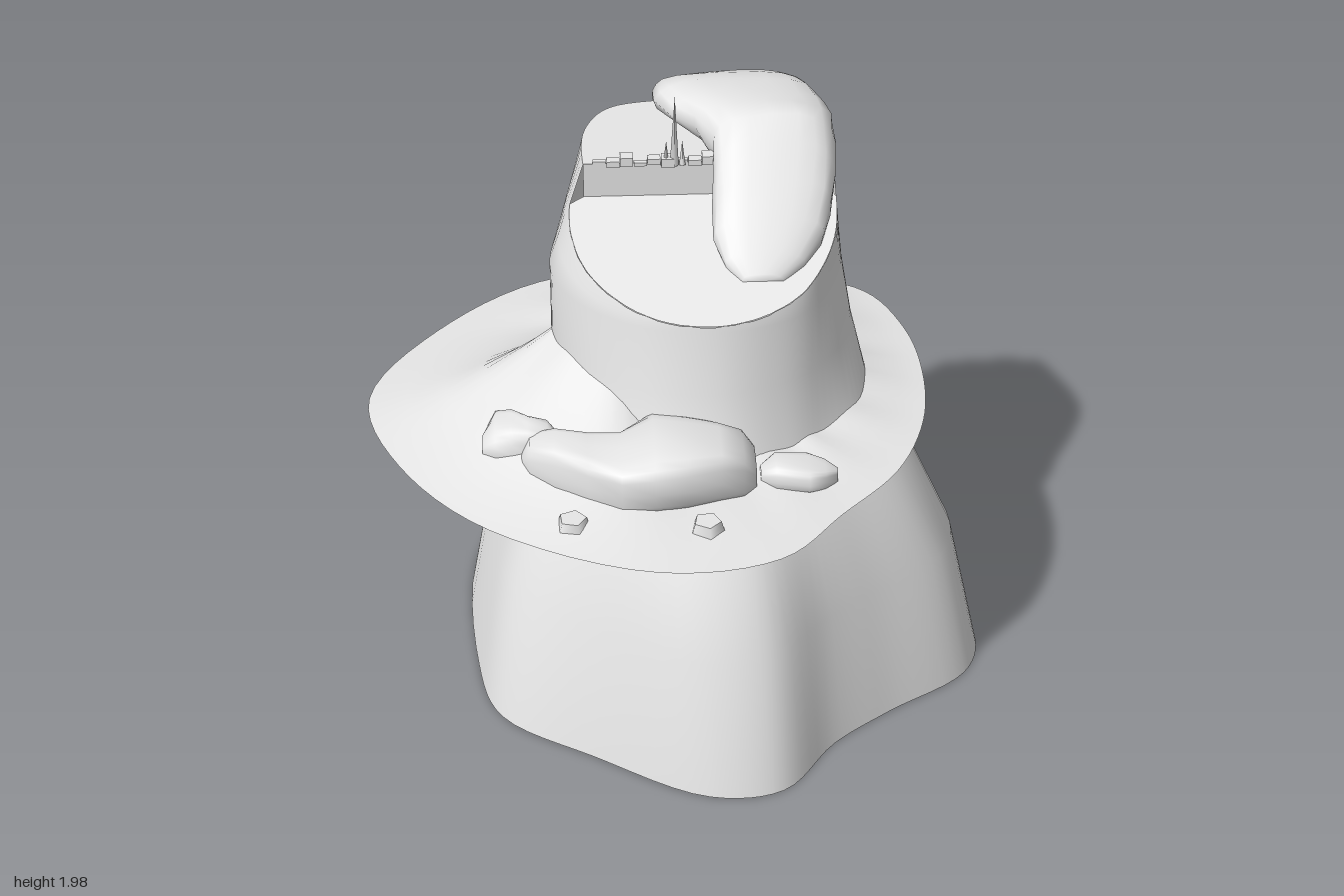
import * as THREE from 'three';

// Matching contours [x, z], running from the +x side through +z, -x and -z
const FOOT = [[.99, .03], [.93, .21], [.66, .4], [.47, .55], [.29, .77], [.06, .79], [-.3, .58], [-.59, .37], [-.67, .1],
  [-.665, -.57], [-.44, -.865], [.08, -.82], [.44, -.885], [.75, -.8], [.87, -.45]];
const WAIST = [[.61, -.15], [.56, .08], [.42, .24], [.32, .32], [.14, .4], [-.08, .38], [-.28, .22], [-.39, 0], [-.4, -.2],
  [-.37, -.42], [-.25, -.58], [0, -.62], [.3, -.66], [.48, -.58], [.55, -.38]];
const BELLY = [[.51, -.15], [.47, .03], [.38, .18], [.26, .255], [.09, .29], [-.11, .255], [-.29, .13], [-.38, -.02], [-.4, -.17],
  [-.34, -.42], [-.22, -.56], [0, -.61], [.28, -.64], [.44, -.56], [.48, -.38]];
const CROWN = [[.48, -.15], [.46, 0], [.38, .1], [.25, .18], [.08, .2], [-.1, .16], [-.22, .06], [-.27, -.05], [-.29, -.17],
  [-.28, -.4], [-.2, -.54], [0, -.59], [.28, -.62], [.42, -.55], [.48, -.38]];
const APRON = [[.79, -.15], [.76, .13], [.65, .4], [.46, .62], [.26, .835], [-.1, .885], [-.6, .65], [-.88, .3], [-.985, -.08],
  [-.78, -.47], [-.44, -.77], [0, -.845], [.42, -.77], [.65, -.66], [.76, -.42]];

const COLS = 90;
const TOP = 1.73, STEP_Z = -.17;

const curve = (pts) => new THREE.CatmullRomCurve3(pts.map(([x, z]) => new THREE.Vector3(x, 0, z)), true);
const [foot, waist, belly, crown, apronEdge] = [FOOT, WAIST, BELLY, CROWN, APRON].map(curve);

// Trunk surface: contour mix at each height
const LEVELS = [[0, foot, waist, 0], [.45, foot, waist, .27], [.75, foot, waist, .66], [.95, waist, belly, 0],
  [1.2, waist, belly, .62], [1.42, belly, crown, 0], [TOP, crown, crown, 0]];
const levelPoint = ([y, a, b, t], u) => a.getPoint(u).lerp(b.getPoint(u), t).setY(y);

function trunkPoint(u, y) {
  let i = 0;
  while (i < LEVELS.length - 2 && y > LEVELS[i + 1][0]) i++;
  const p = levelPoint(LEVELS[i], u), q = levelPoint(LEVELS[i + 1], u);
  return p.clone().lerp(q, (y - p.y) / (q.y - p.y));
}

// Sloping cut at the front, level cut at the back
const cutHeight = (z) => Math.max(1.415, 1.42 + (.29 - z) * .43);
function rimPoint(u) {
  let best = trunkPoint(u, 1.4);
  for (let i = 1; i <= 80; i++) {
    const p = trunkPoint(u, 1.4 + (TOP - 1.4) * i / 80);
    if (p.z <= STEP_Z + .02 || p.y <= cutHeight(p.z)) best = p;
  }
  return best;
}

// Skin over closed rings of equal length
function loft(rings) {
  const n = rings[0].length, pos = [], idx = [];
  rings.forEach((r) => r.forEach((p) => pos.push(p.x, p.y, p.z)));
  for (let i = 0; i < rings.length - 1; i++) {
    for (let j = 0; j < n; j++) {
      const a = i * n + j, b = i * n + (j + 1) % n;
      idx.push(a, a + n, b, b, a + n, b + n);
    }
  }
  const g = new THREE.BufferGeometry();
  g.setAttribute('position', new THREE.Float32BufferAttribute(pos, 3));
  g.setIndex(idx);
  g.computeVertexNormals();
  return g;
}

// Rounded lump from sections [along, side0, side1, bottom, top]; a lower power gives a boxier section
function lump(sections, axis, ripple, power, n = 20) {
  const ring = ([s, a0, a1, y0, y1], size, k) => Array.from({ length: n }, (_, j) => {
    const t = (axis === 'z' ? -1 : 1) * j / n * Math.PI * 2;
    const r = size * (1 + ripple * (Math.sin(t * 5 + k * 1.3) - 1) * .5);
    const soft = (v) => Math.sign(v) * Math.abs(v) ** power;
    const a = (a0 + a1) / 2 + soft(Math.cos(t)) * r * (a1 - a0) / 2;
    const y = (y0 + y1) / 2 + soft(Math.sin(t)) * r * (y1 - y0) / 2;
    return axis === 'z' ? new THREE.Vector3(a, y, s) : new THREE.Vector3(s, y, a);
  });
  const rings = sections.map((s, k) => ring(s, 1, k));
  rings.unshift(ring(sections[0], 0, 0));
  rings.push(ring(sections.at(-1), 0, 0));
  return loft(rings);
}

// Filled outline seen from above, with height set by a rule
function cap(points, height) {
  const g = new THREE.ShapeGeometry(new THREE.Shape(points.map((p) => new THREE.Vector2(p.x, -p.z))));
  g.rotateX(-Math.PI / 2);
  const pos = g.attributes.position;
  for (let i = 0; i < pos.count; i++) pos.setY(i, height(pos.getZ(i)));
  g.computeVertexNormals();
  return g;
}

export function createModel() {
  const model = new THREE.Group();
  const stone = new THREE.MeshStandardMaterial({ color: 0xeeeeee, side: THREE.DoubleSide });
  stone.name = 'pale grey';
  const add = (name, geometry) => {
    const m = new THREE.Mesh(geometry, stone);
    m.name = name;
    model.add(m);
    return m;
  };
  const us = Array.from({ length: COLS }, (_, i) => i / COLS);
  const rim = us.map(rimPoint);

  // Flared, open-bottomed trunk
  const rings = LEVELS.slice(0, 5).map((l) => us.map((u) => levelPoint(l, u)));
  rings.push(us.map((u) => trunkPoint(u, 1.4)));
  rings.push(us.map((u, i) => trunkPoint(u, (1.4 + rim[i].y) / 2)), rim);
  add('trunk', loft(rings));

  // Cut faces and the step between them
  const front = rim.filter((p) => p.z > STEP_Z), back = rim.filter((p) => p.z <= STEP_Z);
  const left = new THREE.Vector3(.48, 0, STEP_Z), right = new THREE.Vector3(-.29, 0, STEP_Z);
  add('slopingCut', cap([left, ...front, right], cutHeight));
  add('levelCut', cap([right, ...back, left], () => TOP));
  add('cutStep', new THREE.PlaneGeometry(.77, .12)).position.set(.095, 1.672, STEP_Z);

  // Splintered wood along the step
  for (let i = 0; i < 9; i++) {
    const h = .012 + .008 * (i * 7 % 3);
    const chip = add('splinter', new THREE.BoxGeometry(.04, h, .018 + .012 * (i % 3)));
    chip.position.set(-.24 + i * .042, TOP + h / 2 - .004, STEP_Z - .01 + .012 * (i % 2));
  }
  [[-.01, .262, .014, .17], [-.035, .09, .01, .1], [.015, .08, .01, -.1]].forEach(([x, h, r, tilt]) => {
    const spike = add('spike', new THREE.ConeGeometry(r, h, 4).translate(0, h / 2, 0));
    spike.position.set(x, TOP - .005, -.165);
    spike.rotation.x = tilt;
  });

  // Thin ground apron, banked up against the right-hand front
  const apron = [0, .2, .4, .6, .8, 1].map((t) => us.map((u) => {
    const bank = Math.exp(-(((u * 15 - 6.7) / 1.6) ** 4));
    const h = .995 + .21 * bank + .006 * Math.sin(u * 90);
    const inner = trunkPoint(u, h);
    inner.x -= (inner.x - .08) * .03;
    inner.z -= (inner.z + .13) * .03;
    const p = apronEdge.getPoint(u).lerp(inner, t);
    return p.setY(.952 + (h - .952) * t ** 1.5);
  }).reverse());
  add('groundApron', loft(apron));

  // Soft mass draped over the cut
  add('drapedMass', lump([
    [-.625, .14, .35, 1.74, 1.79], [-.6, .01, .41, 1.73, 1.825], [-.54, -.075, .44, 1.725, 1.85], [-.45, -.065, .46, 1.725, 1.875],
    [-.36, -.02, .48, 1.725, 1.875], [-.28, .05, .49, 1.71, 1.885], [-.19, .1, .49, 1.66, 1.885], [-.13, .1, .49, 1.6, 1.82],
    [-.06, .1, .475, 1.53, 1.73], [.02, .1, .445, 1.48, 1.645], [.09, .13, .38, 1.46, 1.56], [.14, .18, .31, 1.455, 1.51]],
  'z', .06, .8));

  // Boulders on the apron
  add('largeBoulder', lump([
    [-.5, .33, .4, .96, 1.03], [-.475, .31, .45, .95, 1.09], [-.4, .34, .52, .947, 1.13], [-.3, .36, .58, .947, 1.13],
    [-.2, .35, .63, .947, 1.13], [-.1, .28, .645, .947, 1.155], [0, .31, .625, .947, 1.155], [.1, .34, .58, .947, 1.14],
    [.17, .34, .55, .947, 1.11], [.21, .34, .5, .95, 1.04]], 'x', .05, .6));
  add('sideBoulder', lump([
    [-.62, .25, .33, .95, 1.04], [-.58, .16, .36, .95, 1.08], [-.53, .18, .37, .95, 1.1], [-.48, .24, .38, .95, 1.11],
    [-.42, .27, .38, .95, 1.11], [-.38, .3, .36, .95, 1.06]], 'x', .08, .7));
  add('flatRock', lump([
    [.225, .41, .47, .95, 1.005], [.27, .385, .51, .947, 1.04], [.37, .375, .525, .947, 1.03], [.42, .4, .5, .947, 1.02],
    [.46, .435, .46, .95, 1]], 'x', .05, .6));
  [[-.35, .66], [.05, .69]].forEach(([x, z], i) => {
    const pebble = add('pebble', new THREE.CylinderGeometry(.042, .056, .045, 5));
    pebble.position.set(x, .972, z);
    pebble.rotation.y = .4 + i;
  });
  return model;
}
